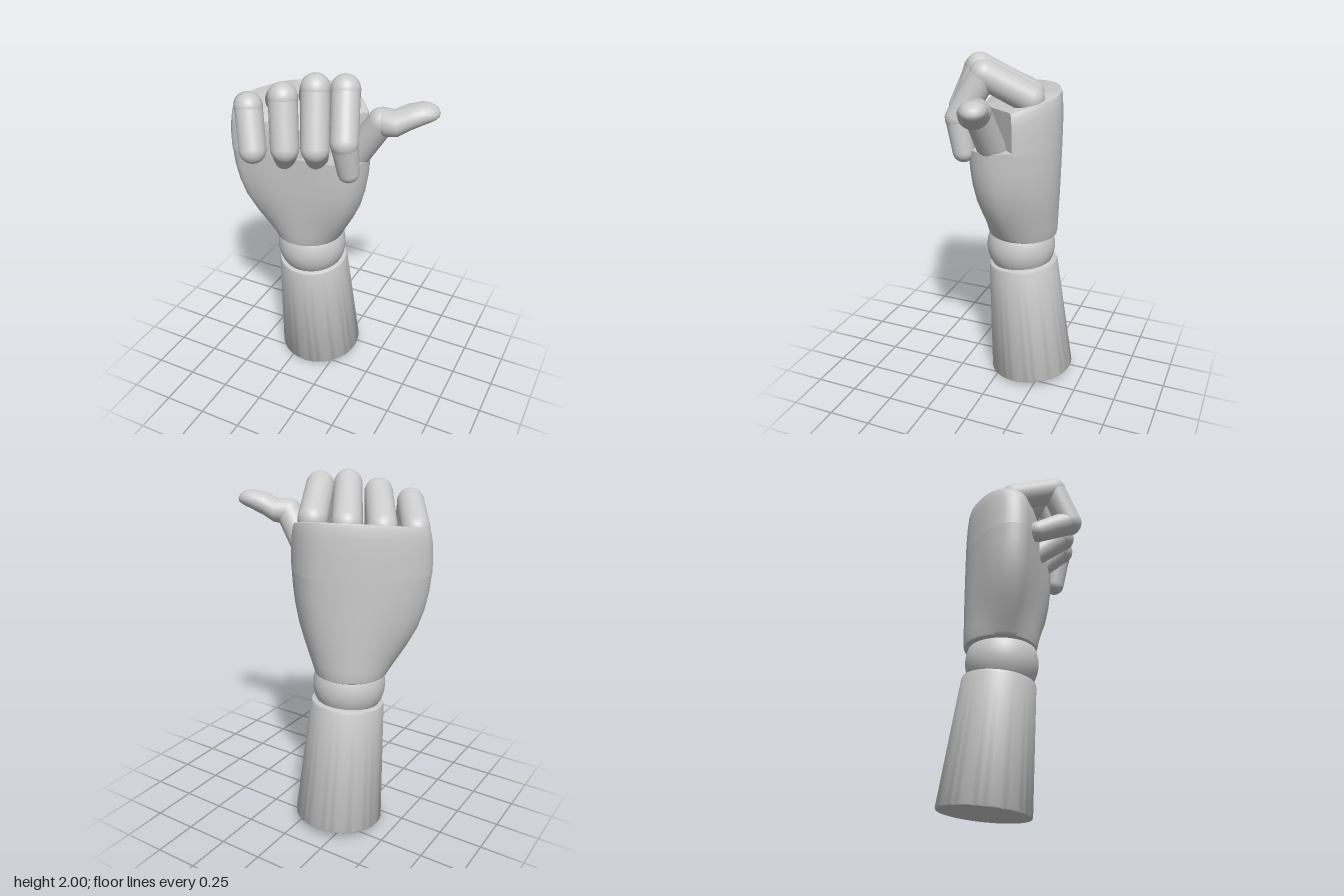
import * as THREE from 'three';
import { toCreasedNormals } from 'three/addons/utils/BufferGeometryUtils.js';

const V = (x, y, z) => new THREE.Vector3(x, y, z);
const material = new THREE.MeshStandardMaterial({ color: 0xcccccc });

function addMesh(parent, name, geometry) {
  const mesh = new THREE.Mesh(geometry, material);
  mesh.name = name;
  parent.add(mesh);
  return mesh;
}

// Skins closed rings of equal point count into one surface
function loft(rings, crease) {
  const n = rings[0].length, index = [];
  for (let i = 0; i < rings.length - 1; i++) {
    for (let j = 0; j < n; j++) {
      const k = (j + 1) % n, a = i * n + j, b = i * n + k;
      index.push(a, a + n, b, b, a + n, b + n);
    }
  }
  const geometry = new THREE.BufferGeometry().setFromPoints(rings.flat());
  geometry.setIndex(index);
  return toCreasedNormals(geometry, crease);
}

// Turns a lathe so that its y axis runs from one point to another
function between(mesh, from, to) {
  mesh.position.copy(from);
  mesh.quaternion.setFromUnitVectors(V(0, 1, 0), to.clone().sub(from).normalize());
}

// Tapered peg with round ends
function addPeg(parent, name, from, to, r0, r1) {
  const length = from.distanceTo(to), steps = 10, profile = [];
  for (let i = 0; i <= steps; i++) {
    const t = (i / steps - 1) * Math.PI / 2;
    profile.push(new THREE.Vector2(r0 * Math.cos(t), r0 * Math.sin(t)));
  }
  for (let i = 0; i <= steps; i++) {
    const t = (i / steps) * Math.PI / 2;
    profile.push(new THREE.Vector2(r1 * Math.cos(t), length + r1 * Math.sin(t)));
  }
  between(addMesh(parent, name, new THREE.LatheGeometry(profile, 32)), from, to);
}

function addForearm(parent) {
  const from = V(-0.16, 0.027, -0.17), to = V(-0.17, 0.75, -0.095);
  const h = from.distanceTo(to);
  const profile = [[0, 0], [0.249, 0], [0.253, 0.006], [0.208, h - 0.02], [0.203, h - 0.005],
    [0.193, h], [0, h]].map(([r, y]) => new THREE.Vector2(r, y));
  between(addMesh(parent, 'forearm', toCreasedNormals(new THREE.LatheGeometry(profile, 64), 0.7)), from, to);
  addMesh(parent, 'wristBall', new THREE.SphereGeometry(0.204, 48, 32)).position.set(-0.17, 0.85, -0.08);
}

// Palm outline seen from above: flat front, bulging back, little finger at -x
const outline = new THREE.CatmullRomCurve3([
  [0.215, -0.01], [0.175, 0.095], [0.03, 0.15], [-0.2, 0.168], [-0.42, 0.18], [-0.525, 0.165],
  [-0.565, 0.085], [-0.545, -0.01], [-0.48, -0.11], [-0.37, -0.22], [-0.22, -0.3], [-0.08, -0.325],
  [0.03, -0.288], [0.13, -0.2], [0.19, -0.1],
].map(([x, z]) => V(x, 0, z)), true).getSpacedPoints(96).slice(0, 96);

function addPalm(parent) {
  const wrist = V(-0.185, 0, -0.085), middle = V(-0.18, 0, -0.07);

  // Body, widening from the round wrist end to the full outline
  const body = [[0.925, 0, 0], [0.925, 0, 0.92], [0.932, 0, 0.98], [0.95, 0.03, 1], [1.0, 0.18, 1],
    [1.1, 0.47, 1], [1.2, 0.71, 1], [1.3, 0.86, 1], [1.4, 0.95, 1], [1.52, 1, 1], [1.52, 1, 0]];
  addMesh(parent, 'palm', loft(body.map(([y, blend, scale]) => outline.map((p) => {
    const round = p.clone().sub(wrist).setLength(0.206).add(wrist);
    return round.lerp(p, blend).sub(wrist).multiplyScalar(scale).add(wrist).setY(y);
  })), 0.6));

  // Knuckle block, cut away at the thumb and sloping down to the front
  const block = [[1.5, 1], [1.62, 1], [1.72, 0.985], [1.775, 0.965], [1.795, 0.94], [1.8, 0.9], [1.8, 0]];
  addMesh(parent, 'knuckleBlock', loft(block.map(([y, scale]) => outline.map((p) => {
    const q = p.clone().sub(middle).multiplyScalar(scale).add(middle);
    const past = Math.max(0, 0.72 * q.x + 0.69 * q.z - 0.02);
    q.add(V(-0.72 * past, 0, -0.69 * past));
    const depth = (q.x + 0.18) * 0.37 + (q.z + 0.07) * 0.93;
    return q.setY(y - 0.25 * Math.max(0, depth + 0.2) * Math.min(1, (y - 1.5) / 0.25));
  })), 0.6));
}

// Knuckle, two joints and tip of each curled finger
const fingers = {
  indexFinger: [V(0, 1.78, -0.18), V(0.1, 1.912, 0.04), V(0.153, 1.68, 0.165), V(0.165, 1.503, 0.135)],
  middleFinger: [V(-0.17, 1.765, -0.12), V(-0.03, 1.922, 0.12), V(0.015, 1.64, 0.22), V(-0.045, 1.493, 0.08)],
  ringFinger: [V(-0.33, 1.75, -0.03), V(-0.175, 1.878, 0.2), V(-0.135, 1.63, 0.268), V(-0.215, 1.492, 0.13)],
  littleFinger: [V(-0.465, 1.735, 0.085), V(-0.33, 1.83, 0.28), V(-0.275, 1.63, 0.354), V(-0.378, 1.535, 0.2)],
};

function addFinger(parent, name, p) {
  const finger = new THREE.Group();
  finger.name = name;
  parent.add(finger);
  const s = name === 'littleFinger' ? 0.95 : 1;
  addPeg(finger, 'lowerSegment', p[0], p[1], 0.08 * s, 0.078 * s);
  addPeg(finger, 'middleSegment', p[1], p[2], 0.076 * s, 0.075 * s);
  addPeg(finger, 'tipSegment', p[2], p[3], 0.073 * s, 0.06 * s);
}

function addThumb(parent) {
  const thumb = new THREE.Group();
  thumb.name = 'thumb';
  parent.add(thumb);
  addPeg(thumb, 'thumbBase', V(0.13, 1.52, -0.015), V(0.285, 1.755, 0), 0.078, 0.074);

  // Flattened tip with a hollow behind the pad
  const side = V(0.35, 0, 0.93), up = V(-0.2, 0.97, 0);
  const sections = [
    [0.235, 1.745, 0.012, 0, 0], [0.24, 1.745, 0.01, 0.04, 0.035], [0.265, 1.75, 0.005, 0.066, 0.064],
    [0.3, 1.757, 0, 0.08, 0.076], [0.36, 1.757, -0.016, 0.081, 0.067], [0.42, 1.792, -0.038, 0.079, 0.063],
    [0.48, 1.815, -0.064, 0.073, 0.056], [0.515, 1.822, -0.078, 0.063, 0.047],
    [0.54, 1.823, -0.088, 0.047, 0.035], [0.555, 1.822, -0.094, 0.027, 0.021], [0.562, 1.821, -0.097, 0, 0],
  ];
  const steps = 32;
  addMesh(thumb, 'thumbTip', loft(sections.map(([x, y, z, a, b]) => Array.from({ length: steps }, (_, j) => {
    const t = (j / steps) * Math.PI * 2;
    return V(x, y, z).addScaledVector(side, a * Math.cos(t)).addScaledVector(up, b * Math.sin(t));
  })), 1.3));
}

export function createModel() {
  const hand = new THREE.Group();
  hand.name = 'jointedHand';
  addForearm(hand);
  addPalm(hand);
  for (const [name, points] of Object.entries(fingers)) addFinger(hand, name, points);
  addThumb(hand);
  return hand;
}
